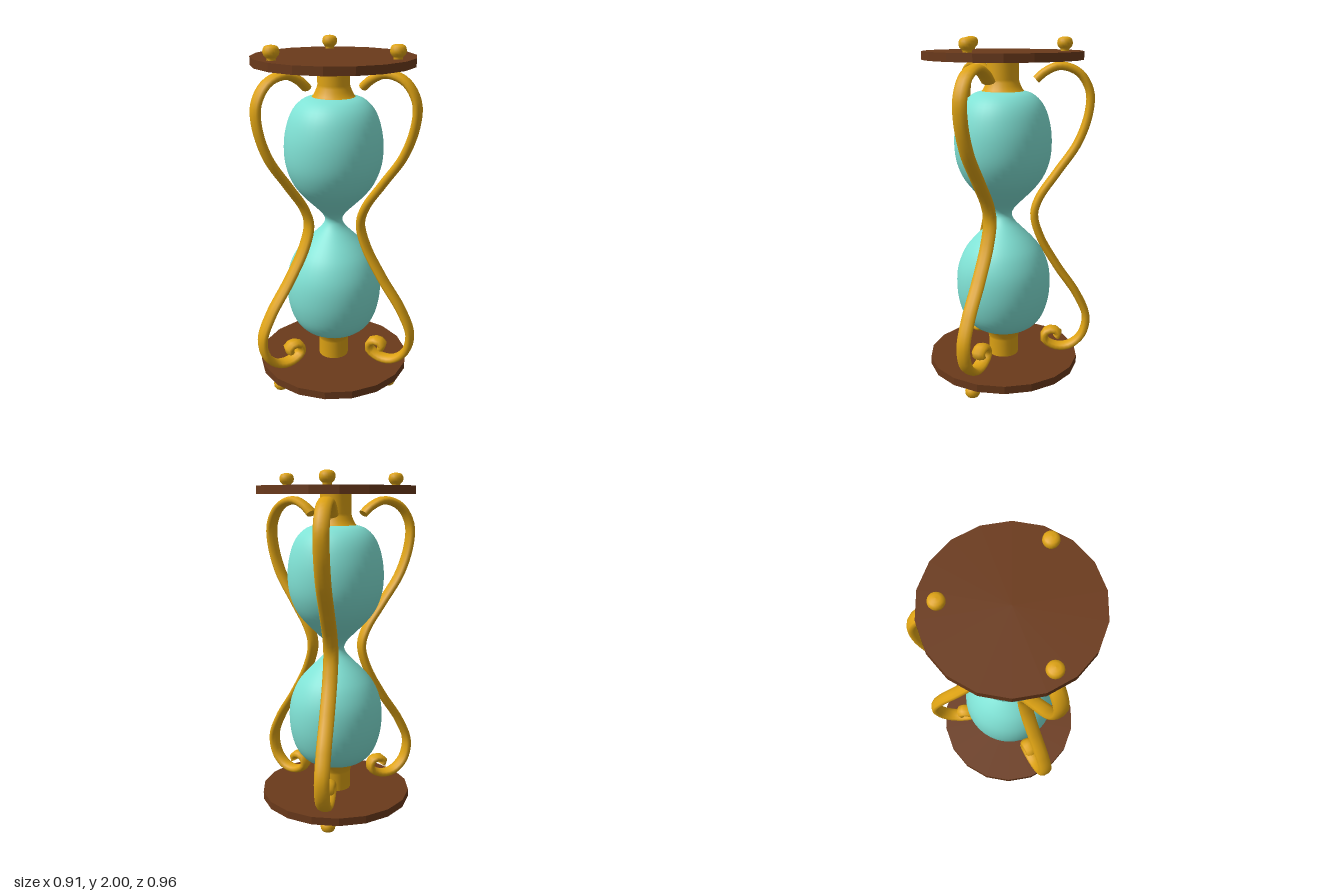
import * as THREE from 'three';
import { mergeGeometries } from 'three/addons/utils/BufferGeometryUtils.js';

const CX = -0.013, CZ = 0.048, MID = 1.004;

const wood = new THREE.MeshStandardMaterial({ color: 0x6b3a1b, flatShading: true });
const gold = new THREE.MeshStandardMaterial({ color: 0xdea314 });
const glass = new THREE.MeshStandardMaterial({ color: 0x80e2d5 });

const v2 = (pts) => pts.map(([x, y]) => new THREE.Vector2(x, y));

function add(parent, name, geometry, material, x = 0, y = 0, z = 0) {
  const mesh = new THREE.Mesh(geometry, material);
  mesh.name = name;
  mesh.position.set(x, y, z);
  parent.add(mesh);
  return mesh;
}

// Scrolled arm in the XY plane: a tube widened across the plane, with closed ends
function armGeometry() {
  const path = [
    [0.17, 1.77], [0.215, 1.81], [0.30, 1.845], [0.405, 1.81], [0.468, 1.71],
    [0.467, 1.59], [0.41, 1.42], [0.292, 1.245], [0.195, 1.10], [0.166, 1.0],
    [0.202, 0.865], [0.307, 0.68], [0.425, 0.505], [0.484, 0.36], [0.46, 0.24],
    [0.385, 0.172], [0.30, 0.167], [0.235, 0.21], [0.243, 0.258], [0.288, 0.272],
    [0.32, 0.25], [0.308, 0.228],
  ].map(([x, y]) => new THREE.Vector3(x, y, 0));
  const curve = new THREE.CatmullRomCurve3(path, false, 'centripetal');
  const r = 0.024, sides = 10;
  const parts = [new THREE.TubeGeometry(curve, 90, r, sides, false)];
  for (const [t, s] of [[0, -1], [1, 1]]) {
    const cap = new THREE.CircleGeometry(r, sides);
    const dir = curve.getTangentAt(t).multiplyScalar(s);
    cap.applyQuaternion(new THREE.Quaternion().setFromUnitVectors(new THREE.Vector3(0, 0, 1), dir));
    const p = curve.getPointAt(t);
    cap.translate(p.x, p.y, p.z);
    parts.push(cap);
  }
  return mergeGeometries(parts).scale(1, 1, 1.8);
}

export function createModel() {
  const group = new THREE.Group();

  // Wooden end plates
  const plate = new THREE.CylinderGeometry(0.444, 0.444, 0.045, 18).rotateY(Math.PI / 2);
  add(group, 'bottomPlate', plate, wood, CX, 0.108, CZ);
  add(group, 'topPlate', plate, wood, CX, 1.902, CZ);

  // Glass bulbs: half profile from the bottom rim to the neck, then mirrored
  const half = [
    [0.115, -0.706], [0.165, -0.69], [0.212, -0.65], [0.246, -0.59], [0.268, -0.51],
    [0.276, -0.43], [0.272, -0.35], [0.255, -0.28], [0.222, -0.21], [0.175, -0.15],
    [0.12, -0.095], [0.075, -0.05], [0.055, -0.02], [0.05, 0],
  ];
  const full = [...half, ...half.slice(0, -1).reverse().map(([r, y]) => [r, -y])];
  const smooth = new THREE.SplineCurve(v2(full)).getPoints(78);
  add(group, 'glass', new THREE.LatheGeometry(smooth, 40), glass, CX, MID, CZ);

  // Flared collars between glass and plates
  const collar = new THREE.LatheGeometry(v2([
    [0, -0.088], [0.088, -0.088], [0.088, -0.088], [0.088, 0.02], [0.092, 0.035],
    [0.1, 0.055], [0.11, 0.075], [0.12, 0.085], [0.12, 0.085], [0, 0.085],
  ]), 24);
  add(group, 'bottomCollar', collar, gold, CX, 0.215, CZ);
  add(group, 'topCollar', collar, gold, CX, 2 * MID - 0.215, CZ).rotation.x = Math.PI;

  // Knobs on the outer faces of both plates
  const knob = new THREE.LatheGeometry(v2([
    [0.025, -0.005], [0.023, 0.008], [0.03, 0.016], [0.039, 0.026], [0.043, 0.04],
    [0.041, 0.056], [0.034, 0.068], [0.02, 0.074], [0, 0.076],
  ]), 20);
  for (const [x, z] of [[-0.015, -0.292], [-0.338, 0.234], [0.303, 0.229]]) {
    add(group, 'topKnob', knob, gold, x, 1.924, z);
    add(group, 'bottomKnob', knob, gold, x, 0.076, z).rotation.x = Math.PI;
  }

  // Three scrolled arms around the glass
  const arm = armGeometry();
  for (const [deg, out] of [[27.5, 0], [150.5, 0], [271, 0.014]]) {
    const a = THREE.MathUtils.degToRad(deg);
    add(group, 'arm', arm, gold, CX + out * Math.cos(a), 0, CZ + out * Math.sin(a)).rotation.y = -a;
  }
  return group;
}
